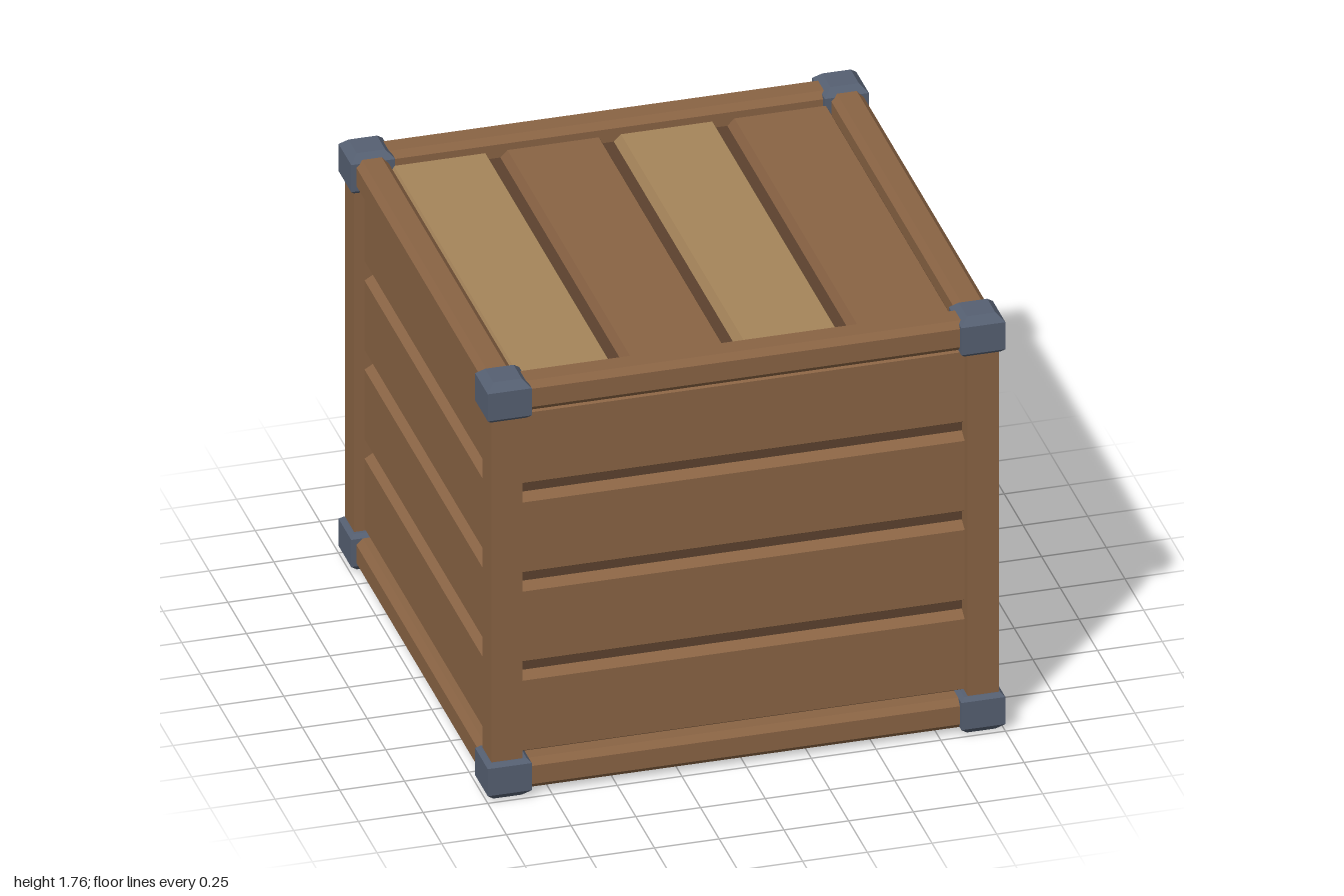
import * as THREE from 'three';

const MID = 0.8825; // half of the total height

function material(name, color) {
  const m = new THREE.MeshStandardMaterial({ color });
  m.name = name;
  return m;
}

// Give every face its own flat normal
function flat(geometry) {
  const g = geometry.toNonIndexed();
  g.computeVertexNormals();
  return g;
}

// Board whose base lies on z = 0 and whose outer face is inset by ix, iy
function boardGeometry(w, h, d, ix, iy) {
  const g = new THREE.BoxGeometry(w, h, d);
  g.translate(0, 0, d / 2);
  const p = g.attributes.position;
  for (let i = 0; i < p.count; i++) {
    if (p.getZ(i) < d / 2) continue;
    p.setX(i, p.getX(i) - Math.sign(p.getX(i)) * ix);
    p.setY(i, p.getY(i) - Math.sign(p.getY(i)) * iy);
  }
  return flat(g);
}

// Square bar with chamfered edges, running along x
function railGeometry(length, size, c) {
  const s = size / 2, k = s - c;
  const shape = new THREE.Shape([
    [-k, -s], [k, -s], [s, -k], [s, k], [k, s], [-k, s], [-s, k], [-s, -k],
  ].map(([x, y]) => new THREE.Vector2(x, y)));
  const g = new THREE.ExtrudeGeometry(shape, { depth: length, bevelEnabled: false });
  g.translate(0, 0, -length / 2);
  g.rotateY(Math.PI / 2);
  return g;
}

// Corner block: wide chamfer on the outer end, narrow one on the inner end
function cornerGeometry() {
  const rows = [[-0.08, 0.015], [-0.065, 0], [0.05, 0], [0.08, 0.03]];
  const g = new THREE.BoxGeometry(0.17, 3, 0.17, 1, 3, 1);
  const p = g.attributes.position;
  for (let i = 0; i < p.count; i++) {
    const [y, inset] = rows[Math.round(p.getY(i) + 1.5)];
    p.setXYZ(i, p.getX(i) - Math.sign(p.getX(i)) * inset, y,
      p.getZ(i) - Math.sign(p.getZ(i)) * inset);
  }
  return flat(g);
}

export function createModel() {
  const model = new THREE.Group();
  model.name = 'crate';
  const brown = material('brown wood', 0x8a6444);
  const tan = material('tan wood', 0xa6855a);
  const dark = material('dark wood', 0x5c422e);
  const metal = material('blue grey metal', 0x566072);

  function add(parent, name, geometry, mat, x = 0, y = 0, z = 0) {
    const mesh = new THREE.Mesh(geometry, mat);
    mesh.name = name;
    mesh.position.set(x, y, z);
    parent.add(mesh);
    return mesh;
  }

  // Inner box showing in the gaps and underneath
  add(model, 'innerBox', new THREE.BoxGeometry(1.8, 1.605, 1.8), dark, 0, 0.8625, 0);

  // Four planked walls
  const wallPlank = boardGeometry(1.74, 0.343, 0.04, 0, 0.024);
  const walls = [['front', 0, brown], ['left', 1, tan], ['back', 2, tan], ['right', 3, brown]];
  for (const [side, turn, mat] of walls) {
    const wall = new THREE.Group();
    wall.name = side + 'Wall';
    wall.rotation.y = turn * Math.PI / 2;
    for (let i = 0; i < 4; i++) {
      add(wall, side + 'Plank', wallPlank, mat, 0, 0.3175 + i * 0.378, 0.9);
    }
    model.add(wall);
  }

  // Lid planks in alternating colours
  const lid = new THREE.Group();
  lid.name = 'lid';
  lid.rotation.x = -Math.PI / 2;
  lid.position.y = 1.665;
  const lidPlank = boardGeometry(0.395, 1.71, 0.04, 0.021, 0.022);
  for (let i = 0; i < 4; i++) {
    add(lid, 'lidPlank', lidPlank, i % 2 ? brown : tan, (i - 1.5) * 0.4385, 0, 0);
  }
  model.add(lid);

  // Frame: rails at top and bottom, posts and corner blocks
  const rail = railGeometry(1.72, 0.125, 0.024);
  const post = new THREE.BoxGeometry(0.12, 1.6, 0.12);
  const corner = cornerGeometry();
  for (let k = 0; k < 4; k++) {
    const frame = new THREE.Group();
    frame.name = 'frameSide';
    frame.rotation.y = k * Math.PI / 2;
    add(frame, 'post', post, brown, 0.92, MID, 0.92);
    for (const s of [-1, 1]) {
      const level = s < 0 ? 'bottom' : 'top';
      add(frame, level + 'Rail', rail, brown, 0, MID + s * 0.8, 0.9175);
      const block = add(frame, level + 'Corner', corner, metal, 0.915, MID + s * 0.8025, 0.915);
      if (s < 0) block.rotation.x = Math.PI;
    }
    model.add(frame);
  }
  return model;
}
